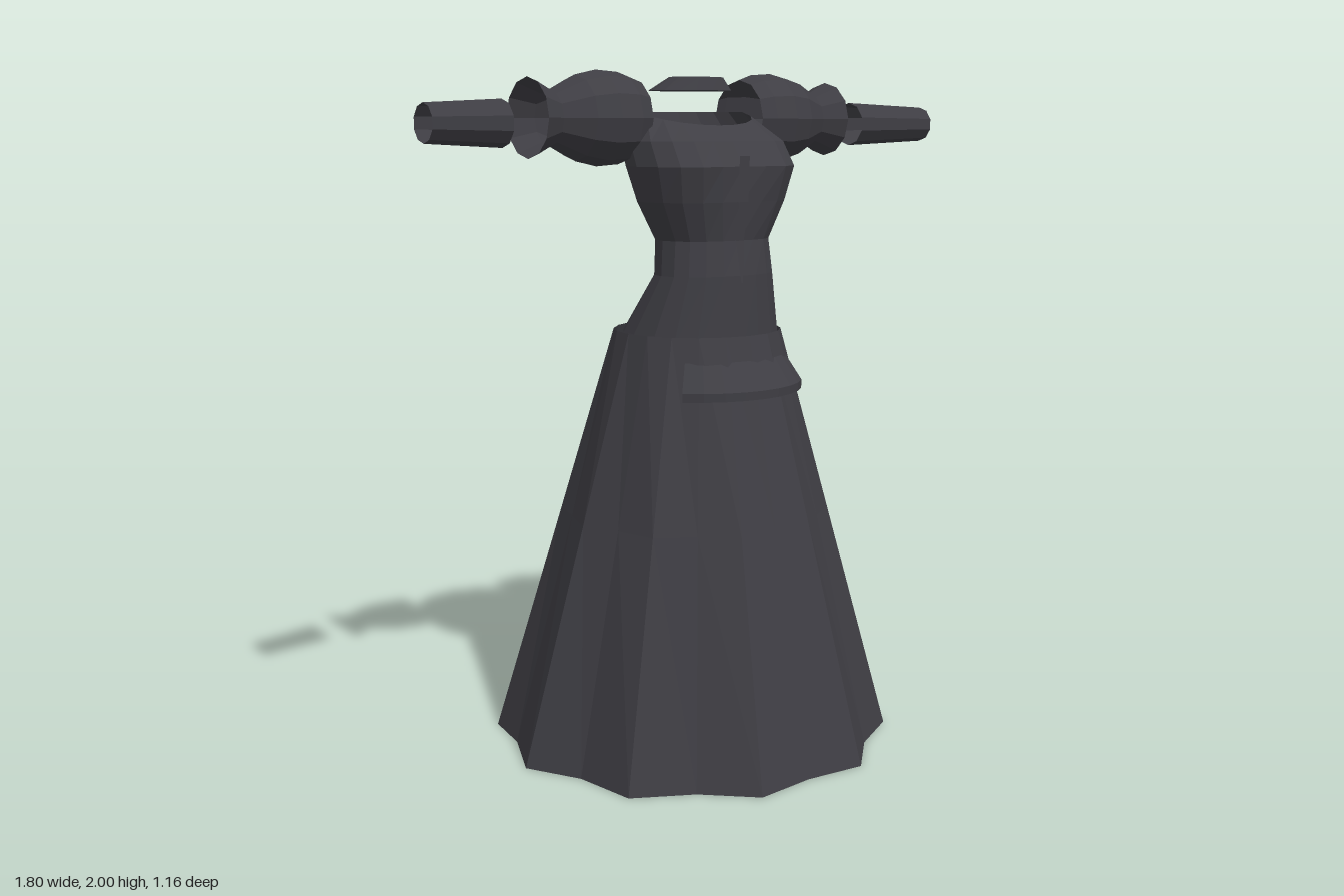
import * as THREE from 'three';

const charcoal = new THREE.MeshStandardMaterial({
  color: 0x3f3e44, flatShading: true, side: THREE.DoubleSide,
});
charcoal.name = 'charcoal cloth';

// Skins a list of rings (arrays of [x, y, z]) with quads
function loft(name, rings, closed = true) {
  const n = rings[0].length;
  const index = [];
  for (let r = 0; r < rings.length - 1; r++) {
    for (let i = 0; i < (closed ? n : n - 1); i++) {
      const a = r * n + i, b = r * n + (i + 1) % n;
      index.push(a, b, b + n, a, b + n, a + n);
    }
  }
  const geo = new THREE.BufferGeometry();
  geo.setAttribute('position', new THREE.Float32BufferAttribute(rings.flat(2), 3));
  geo.setIndex(index);
  geo.computeVertexNormals();
  const mesh = new THREE.Mesh(geo, charcoal);
  mesh.name = name;
  return mesh;
}

// Samples a function of angle, where angle 0 is the front (+z) and 90 degrees is +x
function ring(n, fn, from = 0, to = Math.PI * 2, open = false) {
  return Array.from({ length: n }, (_, i) => fn(from + (to - from) * i / (open ? n - 1 : n), i));
}

// Round skirt at the hips that falls into ten pleats at the hem
function makeSkirt() {
  const hem = a => (i) => {
    const r = i % 2 ? 0.635 : 0.573;
    return [0.95 * r * Math.sin(a), 0, (i % 2 ? 0.955 : 1) * r * Math.cos(a) + (i % 2 ? 0.01 : -0.005)];
  };
  const waist = a => [0.25 * Math.sin(a), 1.25, 0.04 + 0.247 * Math.cos(a)];
  const level = t => ring(20, (a, i) => {
    const w = waist(a), h = hem(a)(i);
    return w.map((v, k) => v + (h[k] - v) * t);
  });
  return loft('skirt', [level(0), level(0.44), level(1)]);
}

// Fitted bodice: [y, half width, front z, back z, bust relief, front drop]
function makeBodice() {
  const rows = [
    [1.25, 0.245, 0.25, -0.13, 0, 0.08],
    [1.42, 0.19, 0.25, -0.01, 0, 0],
    [1.52, 0.178, 0.24, -0.02, 0.004, 0],
    [1.63, 0.23, 0.265, -0.06, 0.015, 0],
    [1.73, 0.255, 0.285, -0.1, 0.03, 0],
    [1.8, 0.25, 0.235, -0.125, 0.03, 0],
    [1.885, 0.2, 0.145, -0.145, 0, 0.04],
  ];
  return loft('bodice', rows.map(([y, w, zf, zb, bust, drop]) => ring(20, a => {
    const c = Math.cos(a), s = Math.sin(a);
    const front = Math.max(c, 0);
    const z = (zf + zb) / 2 + (zf - zb) / 2 * Math.sign(c) * Math.abs(c) ** 0.85;
    // two soft lobes with a hollow in the middle
    const lobes = bust * (front * Math.sin(a) ** 2 * 1.8 - front ** 12);
    return [w * s, y - drop * front, z + lobes];
  })));
}

// Curved flap over the front of the skirt
function makeFlap() {
  const arc = (y, r) => ring(9, a => [r * Math.sin(a), y, 0.04 + r * Math.cos(a)],
    -Math.PI / 4, Math.PI / 4, true);
  return loft('frontFlap', [arc(1.18, 0.262), arc(1.1, 0.314), arc(1.075, 0.313), arc(1.08, 0.285)], false);
}

// Narrow placket down the middle of the chest
function makePlacket() {
  const rows = [[1.76, 0.018, 0.262], [1.63, 0.018, 0.257], [1.52, 0.014, 0.242], [1.4, 0.003, 0.253]];
  return loft('placket', rows.map(([y, w, z]) => [[-w, y, z], [w, y, z]]), false);
}

// Detached collar band, broad at the nape and thin at the throat
function makeCollar() {
  const band = (y, w, zf, zb) => ring(16, a =>
    [w * Math.sin(a), y, (zf + zb) / 2 + (zf - zb) / 2 * Math.cos(a)]);
  return loft('collar', [band(1.945, 0.132, 0.112, -0.1), band(1.983, 0.087, 0.1, -0.03)]);
}

// Open tube along x: [x, radius, y, z]
function makeTube(name, side, sides, rows) {
  return loft(name, rows.map(([x, r, y, z]) => ring(sides, a =>
    [side * x, y + r * Math.cos(a), z + r * Math.sin(a)])));
}

export function createModel() {
  const dress = new THREE.Group();
  dress.name = 'dress';
  dress.add(makeSkirt(), makeBodice(), makeFlap(), makePlacket(), makeCollar());

  // Puffed sleeves with flared ends, and separate wrist cuffs
  const puff = [[0.2, 0.115], [0.245, 0.13], [0.32, 0.135], [0.39, 0.12], [0.475, 0.077], [0.545, 0.112]];
  for (const side of [1, -1]) {
    const label = side > 0 ? 'left' : 'right';
    dress.add(
      makeTube(label + 'PuffSleeve', side, 12, puff.map(([x, r]) => [x, r, 1.865, -0.015])),
      makeTube(label + 'Cuff', side, 10, [[0.635, 0.066, 1.85, 0], [0.9, 0.053, 1.85, 0.05]]),
    );
  }
  return dress;
}
